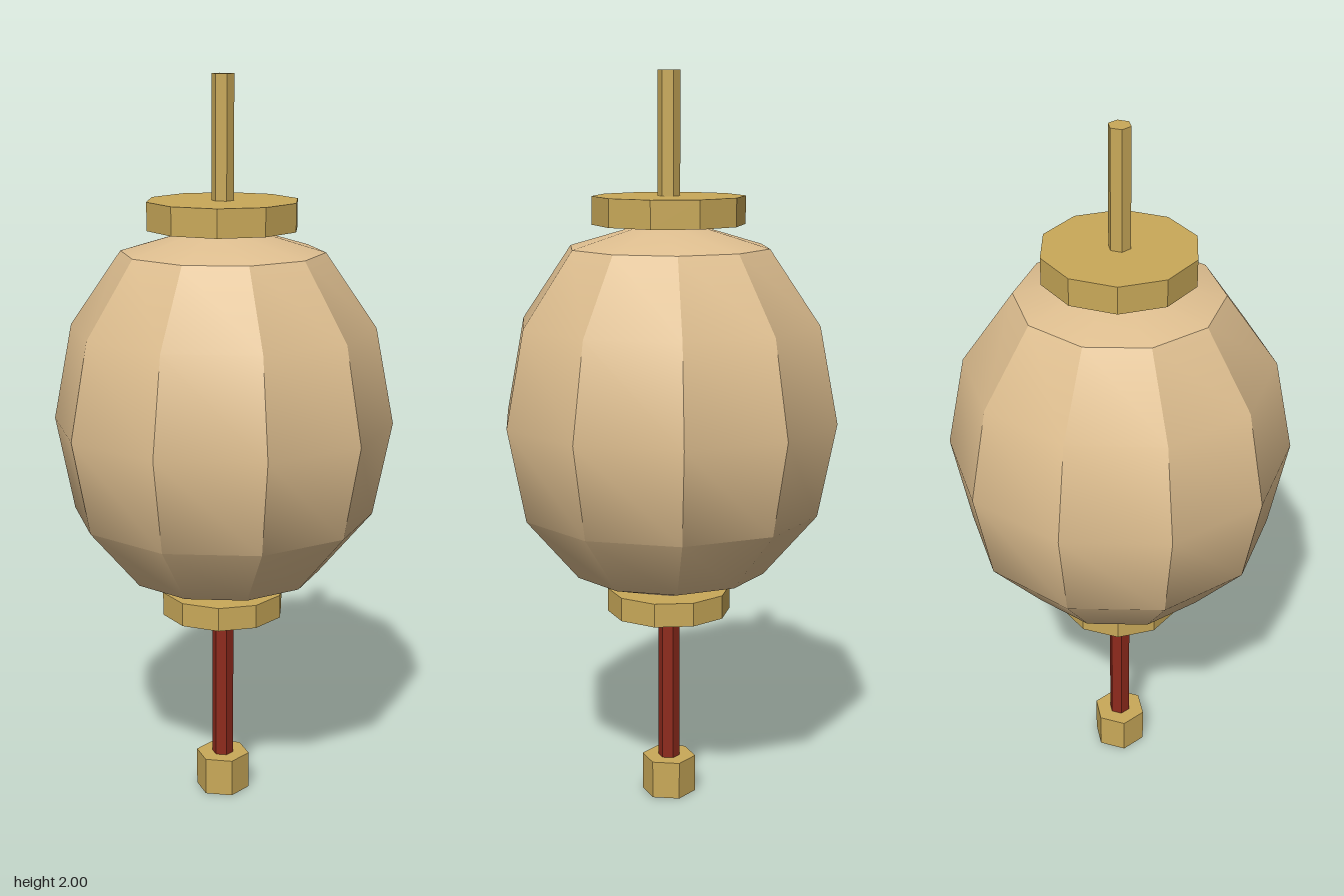
import * as THREE from 'three';
import { toCreasedNormals } from 'three/addons/utils/BufferGeometryUtils.js';

const material = (name, color) => {
  const m = new THREE.MeshStandardMaterial({ color });
  m.name = name;
  return m;
};

export function createModel() {
  const group = new THREE.Group();
  const paper = material('tan paper', 0xdfbf90);
  const brass = material('brass', 0xc9a959);
  const red = material('red cord', 0x8e2a1c);

  const add = (name, geometry, mat) => {
    const mesh = new THREE.Mesh(geometry, mat);
    mesh.name = name;
    group.add(mesh);
  };

  // Faceted prism between two heights
  const prism = (name, radius, y0, y1, sides, mat) => {
    const g = new THREE.CylinderGeometry(radius, radius, y1 - y0, sides);
    g.translate(0, (y0 + y1) / 2, 0);
    add(name, toCreasedNormals(g, Math.PI / 6), mat);
  };

  // Ten-sided lantern body, bottom to top
  const profile = [
    [0, 0.6], [0.09, 0.6], [0.265, 0.655], [0.41, 0.825], [0.46, 1.08],
    [0.41, 1.34], [0.273, 1.54], [0.07, 1.6], [0, 1.6],
  ].map(([r, y]) => new THREE.Vector2(r, y));
  const body = new THREE.LatheGeometry(profile, 10, Math.PI / 2);
  add('lanternBody', toCreasedNormals(body, Math.PI / 6), paper);

  // Caps, hanging rod, cord and end weight
  prism('topCap', 0.205, 1.6, 1.675, 10, brass);
  prism('hangingRod', 0.03, 1.675, 2, 6, brass);
  prism('bottomCap', 0.17, 0.535, 0.6, 10, brass);
  prism('cord', 0.03, 0.105, 0.535, 6, red);
  prism('endWeight', 0.075, 0, 0.105, 6, brass);

  return group;
}
